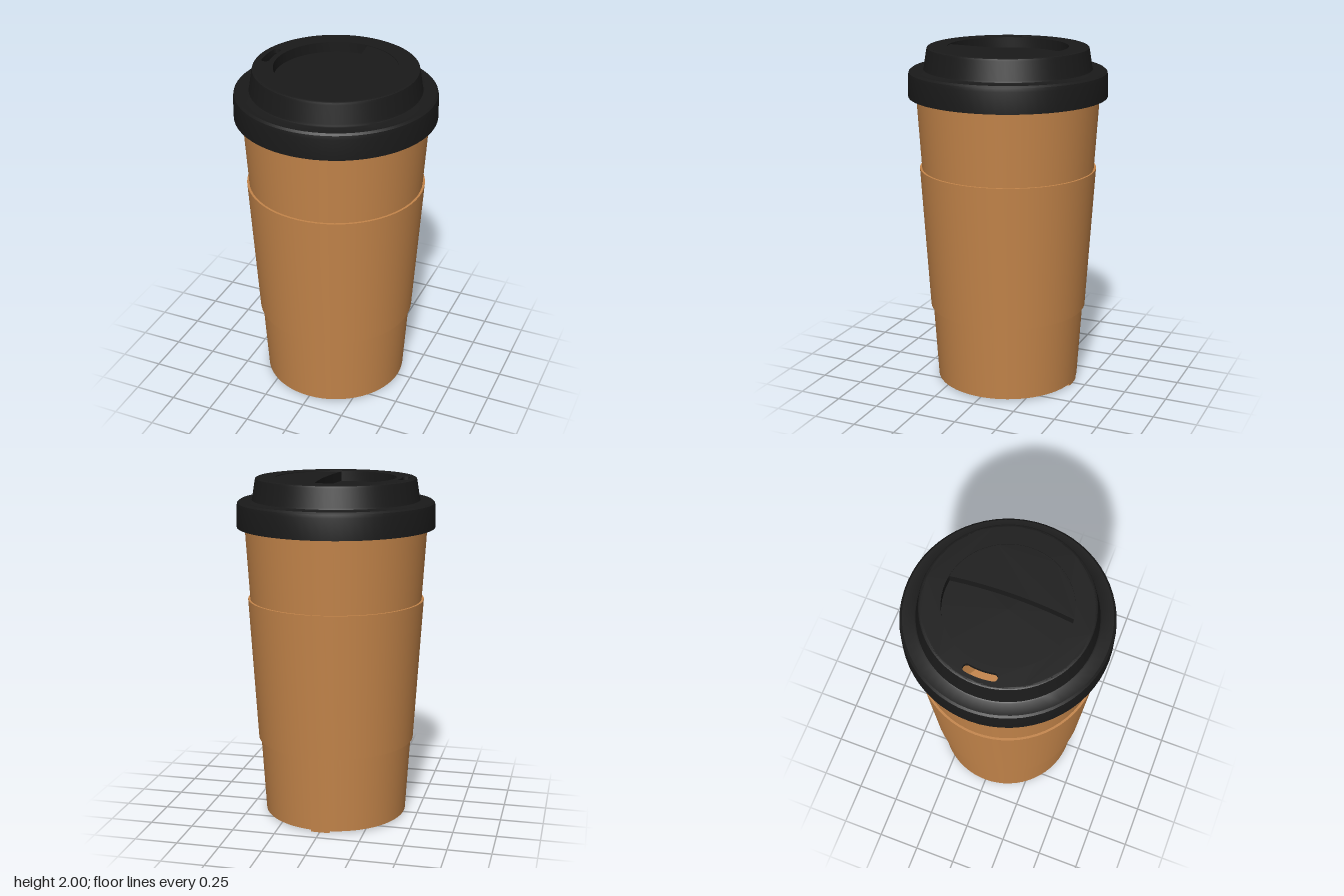
import * as THREE from 'three';
import { toCreasedNormals } from 'three/addons/utils/BufferGeometryUtils.js';

const SEGMENTS = 64;
const card = new THREE.MeshStandardMaterial({ color: 0xc4854a });
const plastic = new THREE.MeshStandardMaterial({ color: 0x1a1a1a });

function part(name, geometry, material) {
  const mesh = new THREE.Mesh(geometry, material);
  mesh.name = name;
  return mesh;
}

// Revolves [radius, height] pairs, keeping sharp profile corners sharp
function revolve(profile, start = 0, sweep = Math.PI * 2) {
  const points = profile.map(([r, y]) => new THREE.Vector2(r, y));
  const segments = Math.max(6, Math.round(SEGMENTS * sweep / (Math.PI * 2)));
  return toCreasedNormals(new THREE.LatheGeometry(points, segments, start, sweep), 0.6);
}

// Horizontal slab cut from a shape, between two heights
function slab(shape, bottom, top) {
  const g = new THREE.ExtrudeGeometry(shape, { depth: top - bottom, bevelEnabled: false, curveSegments: 48 });
  g.rotateX(-Math.PI / 2).translate(0, bottom, 0);
  return toCreasedNormals(g, 0.6);
}

// Outer radius of the tapered cup at a height
const cupRadius = y => 0.42 + 0.0614 * (y - 0.01);

function buildCup() {
  const cup = new THREE.Group();
  cup.name = 'cup';
  const t = 0.01, top = 1.82;

  // Hollow wall with a floor set up inside the foot
  cup.add(part('cupWall', revolve([
    [0, 0.06], [cupRadius(0.06) - t, 0.06], [cupRadius(0.01) - t, 0.01],
    [cupRadius(0.01), 0.01], [cupRadius(top), top],
    [cupRadius(top) - t, top], [cupRadius(0.075) - t, 0.075], [0, 0.075],
  ]), card));

  // Rolled rim under the lid
  const rim = new THREE.TorusGeometry(0.541, 0.018, 10, SEGMENTS);
  rim.rotateX(Math.PI / 2).translate(0, 1.8, 0);
  cup.add(part('rolledRim', rim, card));

  // Overlapping seam up the back
  const seam = revolve([
    [cupRadius(0) - t, 0], [cupRadius(0) + 0.003, 0],
    [cupRadius(1.78) + 0.003, 1.78], [cupRadius(1.78) - 0.004, 1.78],
    [cupRadius(0) - t, 0],
  ], Math.PI - 0.12, 0.26);
  const seamMaterial = card.clone();
  seamMaterial.side = THREE.DoubleSide;
  cup.add(part('backSeam', seam, seamMaterial));

  // Cardboard sleeve
  const low = 0.46, high = 1.3, gap = 0.013;
  cup.add(part('sleeve', revolve([
    [cupRadius(low) - 0.003, low], [cupRadius(low) + gap, low],
    [cupRadius(high) + gap, high], [cupRadius(high) - 0.003, high],
  ]), card));
  return cup;
}

function buildLid() {
  const lid = new THREE.Group();
  lid.name = 'lid';

  // Skirt, shoulder and raised collar as one thin shell
  lid.add(part('lidShell', revolve([
    [0.56, 1.72], [0.57, 1.72], [0.569, 1.84], [0.565, 1.86], [0.553, 1.87],
    [0.49, 1.87], [0.482, 1.874], [0.479, 1.885], [0.463, 1.985], [0.46, 1.996], [0.452, 2],
    [0.445, 2], [0.445, 1.975], [0.468, 1.86], [0.548, 1.857], [0.56, 1.84], [0.56, 1.72],
  ]), plastic));

  // Flat top ring with the central recess and curved sip slot cut out
  const recessR = 0.345;
  const ring = new THREE.Shape().absarc(0, 0, 0.452, 0, Math.PI * 2);
  ring.holes.push(new THREE.Path().absarc(0, 0, recessR, 0, Math.PI * 2, true));
  const mid = 0.4, half = 0.0225, a = 0.18;
  const end = s => [mid * Math.cos(Math.PI + s), mid * Math.sin(Math.PI + s)];
  const slot = new THREE.Path();
  slot.absarc(0, 0, mid + half, Math.PI - a, Math.PI + a);
  slot.absarc(...end(a), half, Math.PI + a, Math.PI * 2 + a);
  slot.absarc(0, 0, mid - half, Math.PI + a, Math.PI - a, true);
  slot.absarc(...end(-a), half, Math.PI * 2 - a, Math.PI * 3 - a);
  ring.holes.push(slot);
  lid.add(part('topRing', slab(ring, 1.975, 2), plastic));

  // Sunken pan
  lid.add(part('recess', revolve([
    [0, 1.925], [0.355, 1.925], [0.355, 1.99], [recessR, 1.99], [recessR, 1.94], [0, 1.94],
  ]), plastic));

  // Raised half of the pan, with a bowed front edge
  const edgeX = 0.045;
  const angle = Math.acos(edgeX / recessR), edgeZ = recessR * Math.sin(angle);
  const panel = new THREE.Shape();
  panel.absarc(0, 0, recessR, -angle, angle);
  panel.quadraticCurveTo(0.09, 0, edgeX, -edgeZ);
  lid.add(part('raisedPanel', slab(panel, 1.935, 1.996), plastic));
  return lid;
}

export function createModel() {
  const model = new THREE.Group();
  model.name = 'takeawayCup';
  model.add(buildCup(), buildLid());
  return model;
}
